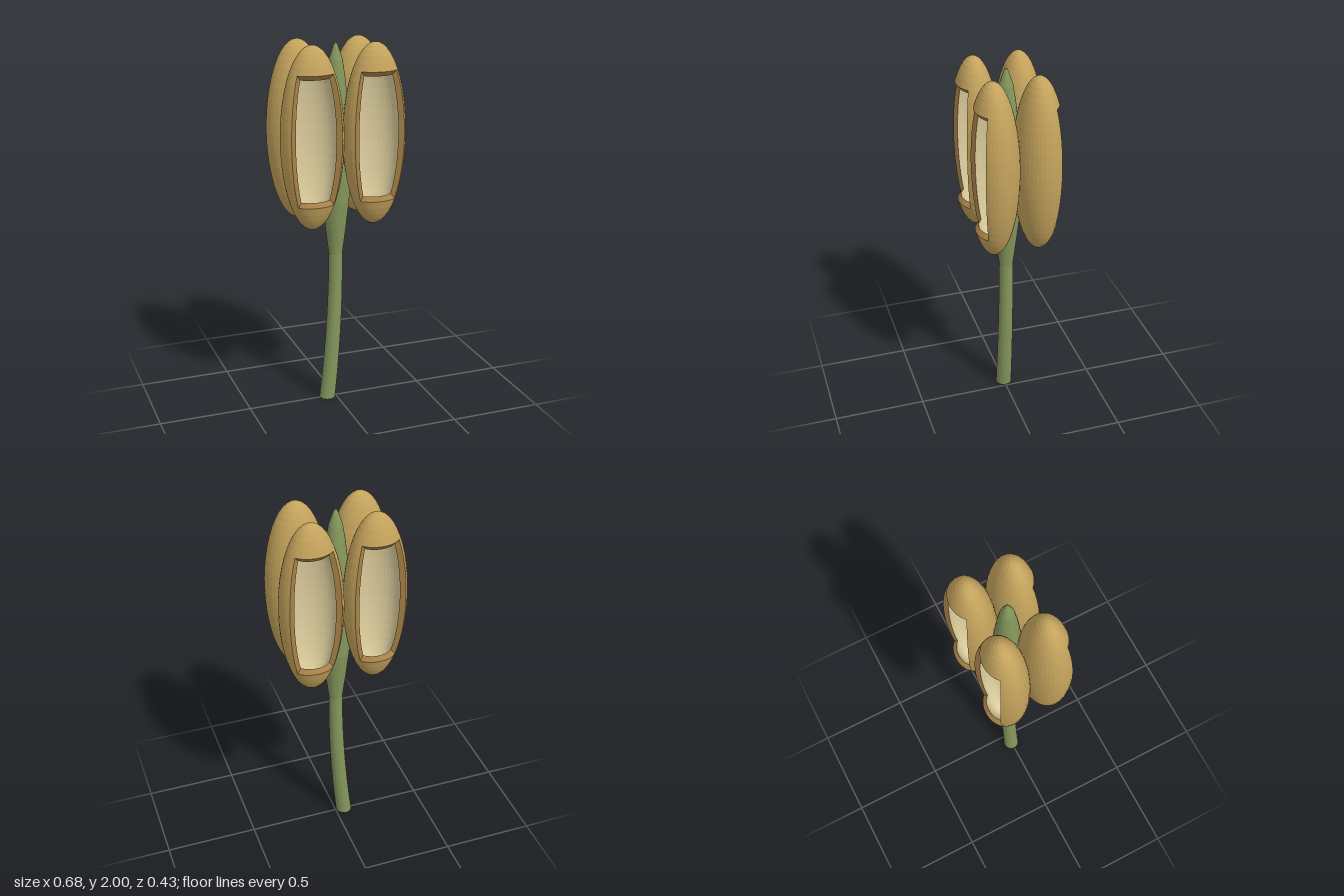
import * as THREE from 'three';

const material = (color) => new THREE.MeshStandardMaterial({
  color, flatShading: true, side: THREE.DoubleSide,
});

const OUTER = [0.168, 0.48, 0.132];
const INNER = [0.134, 0.445, 0.105];
// Window limits in radians around (phi) and down (theta) each sac
const PHI0 = Math.PI * 0.2, PHI1 = Math.PI * 0.8;
const THETA0 = Math.PI / 4, THETA1 = Math.PI * 0.75;

function pointOn([a, b, c], phi, theta) {
  return [a * Math.cos(phi) * Math.sin(theta), b * Math.cos(theta), c * Math.sin(phi) * Math.sin(theta)];
}

// Ellipsoid in three bands, the middle one left open in front
function shell(name, radii, mat) {
  const group = new THREE.Group();
  group.name = name;
  const bands = [
    ['upperCap', 40, 6, 0, Math.PI * 2, 0, THETA0],
    ['openWall', 28, 12, PHI1, Math.PI * 2 - (PHI1 - PHI0), THETA0, THETA1 - THETA0],
    ['lowerCap', 40, 6, 0, Math.PI * 2, THETA1, Math.PI - THETA1],
  ];
  for (const [part, w, h, p, pl, t, tl] of bands) {
    const geo = new THREE.SphereGeometry(1, w, h, p, pl, t, tl).scale(...radii);
    const mesh = new THREE.Mesh(geo, mat);
    mesh.name = part;
    group.add(mesh);
  }
  return group;
}

// Strip of wall joining outer and inner shell along one window edge
function rimStrip(name, steps, angles, mat) {
  const pos = [], index = [];
  for (let i = 0; i <= steps; i++) {
    const [phi, theta] = angles(i / steps);
    pos.push(...pointOn(OUTER, phi, theta), ...pointOn(INNER, phi, theta));
    if (i < steps) {
      const k = i * 2;
      index.push(k, k + 1, k + 2, k + 1, k + 3, k + 2);
    }
  }
  const geo = new THREE.BufferGeometry();
  geo.setAttribute('position', new THREE.Float32BufferAttribute(pos, 3));
  geo.setIndex(index);
  geo.computeVertexNormals();
  const mesh = new THREE.Mesh(geo, mat);
  mesh.name = name;
  return mesh;
}

function createSac(mats) {
  const sac = new THREE.Group();
  sac.add(shell('sacShell', OUTER, mats.sac), shell('sacLining', INNER, mats.lining));
  const mix = THREE.MathUtils.lerp;
  sac.add(
    rimStrip('leftRim', 12, (t) => [PHI0, mix(THETA0, THETA1, t)], mats.rim),
    rimStrip('rightRim', 12, (t) => [PHI1, mix(THETA0, THETA1, t)], mats.rim),
    rimStrip('upperRim', 12, (t) => [mix(PHI0, PHI1, t), THETA0], mats.rim),
    rimStrip('lowerRim', 12, (t) => [mix(PHI0, PHI1, t), THETA1], mats.rim),
  );
  return sac;
}

function lathe(name, profile, mat) {
  const points = profile.map(([r, y]) => new THREE.Vector2(r, y));
  const mesh = new THREE.Mesh(new THREE.LatheGeometry(points, 24), mat);
  mesh.name = name;
  return mesh;
}

export function createModel() {
  const model = new THREE.Group();
  model.name = 'stamen';
  const mats = {
    sac: material(0xc4a35c), rim: material(0xa88248),
    lining: material(0xdccd9c), stem: material(0x84975c),
  };

  // Stalk, bending sideways towards its foot
  const stalkProfile = [[0, 0]];
  for (let i = 0; i <= 12; i++) stalkProfile.push([0.044 - 0.007 * i / 12, 0.85 * i / 12]);
  const stalk = lathe('stalk', stalkProfile, mats.stem);
  const p = stalk.geometry.attributes.position;
  for (let i = 0; i < p.count; i++) {
    const bend = 1 - p.getY(i) / 0.85;
    p.setX(i, p.getX(i) - 0.05 * bend * bend);
  }
  stalk.geometry.computeVertexNormals();
  model.add(stalk);

  // Core that carries the sacs and ends in a point
  model.add(lathe('core', [
    [0.037, 0.85], [0.056, 1.0], [0.073, 1.15], [0.079, 1.3], [0.079, 1.45], [0.072, 1.6],
    [0.06, 1.72], [0.05, 1.81], [0.036, 1.9], [0.02, 1.95], [0.007, 1.985], [0, 1.99],
  ], mats.stem));

  // Four sacs, two opening to the front and two to the back
  for (const [sx, side] of [[1, 'left'], [-1, 'right']]) {
    for (const [sz, end] of [[1, 'Front'], [-1, 'Back']]) {
      const sac = createSac(mats);
      sac.name = side + end + 'Sac';
      sac.position.set(sx * 0.17, 1.52, sz * 0.12);
      if (sz < 0) sac.rotation.y = Math.PI;
      model.add(sac);
    }
  }
  return model;
}
